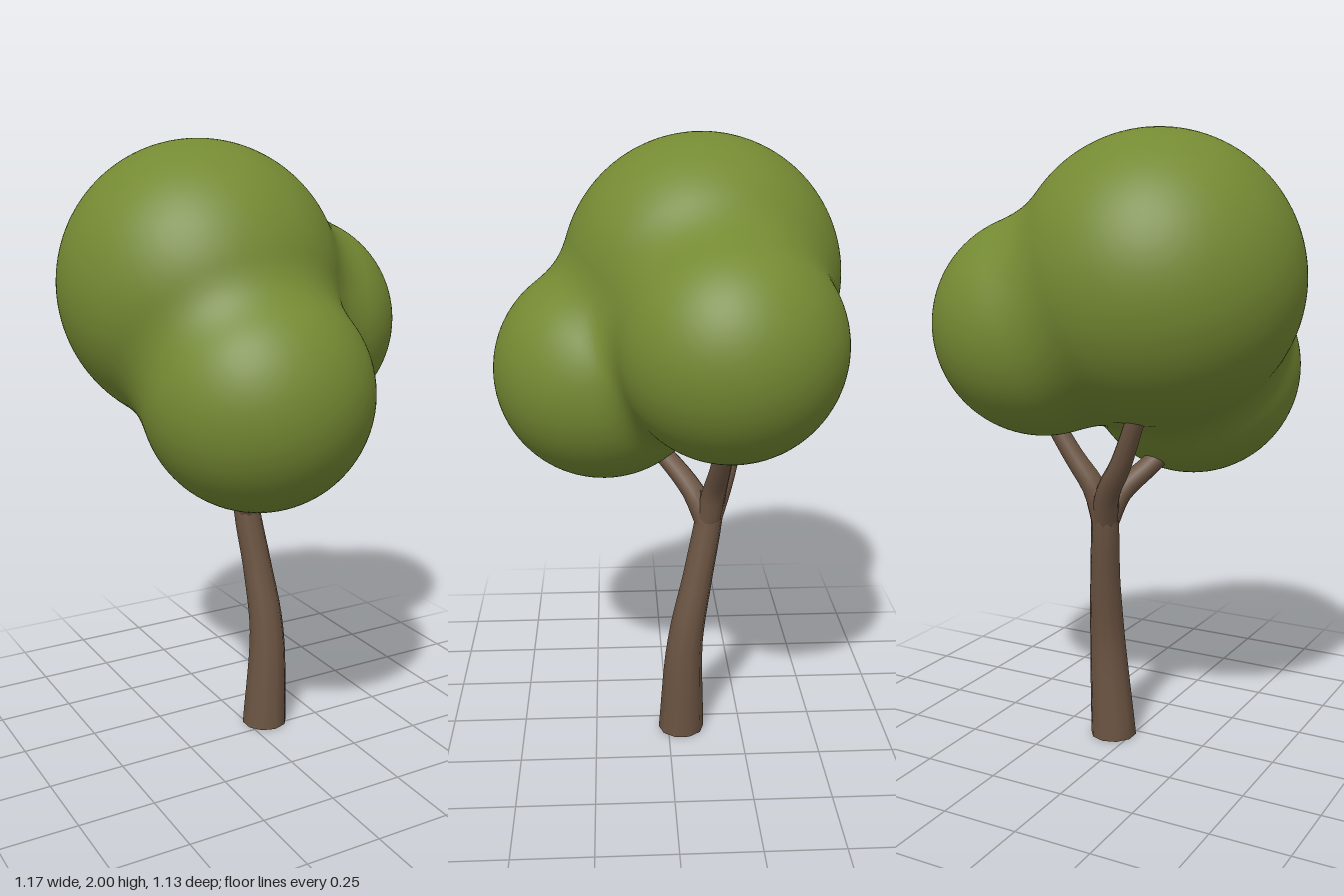
import * as THREE from 'three';
import { mergeVertices } from 'three/addons/utils/BufferGeometryUtils.js';

const leafMaterial = new THREE.MeshStandardMaterial({ color: 0x758a33 });
const barkMaterial = new THREE.MeshStandardMaterial({ color: 0x6b5442 });

// Overlapping leaf balls: centre and radius
const balls = [
  { c: new THREE.Vector3(-0.137, 1.55, -0.115), r: 0.45 },
  { c: new THREE.Vector3(-0.105, 1.25, 0.205), r: 0.358 },
  { c: new THREE.Vector3(0.235, 1.402, -0.18), r: 0.351 },
];

function smoothMin(a, b, k) {
  const h = Math.max(k - Math.abs(a - b), 0) / k;
  return Math.min(a, b) - h * h * k / 4;
}

function foliageDistance(p) {
  return balls.map(({ c, r }) => p.distanceTo(c) - r).reduce((a, b) => smoothMin(a, b, 0.09));
}

// Push a sphere's vertices out to the blended surface of the balls
function foliageGeometry() {
  const base = new THREE.IcosahedronGeometry(1, 28);
  base.deleteAttribute('normal');
  base.deleteAttribute('uv');
  const geo = mergeVertices(base, 1e-5);
  const pos = geo.attributes.position;
  const centre = new THREE.Vector3(-0.02, 1.41, -0.04);
  const dir = new THREE.Vector3(), p = new THREE.Vector3();
  for (let i = 0; i < pos.count; i++) {
    dir.fromBufferAttribute(pos, i).normalize();
    let near = 0, far = 1.2;
    for (let n = 0; n < 22; n++) {
      const mid = (near + far) / 2;
      p.copy(centre).addScaledVector(dir, mid);
      if (foliageDistance(p) < 0) near = mid; else far = mid;
    }
    pos.setXYZ(i, p.x, p.y, p.z);
  }
  geo.computeVertexNormals();
  return geo;
}

// Tapered limb through points [x, y, z, radius]
function limb(name, points, steps, sides) {
  const curve = new THREE.CatmullRomCurve3(points.map(([x, y, z]) => new THREE.Vector3(x, y, z)));
  const geo = new THREE.TubeGeometry(curve, steps, 1, sides);
  const pos = geo.attributes.position;
  const p = new THREE.Vector3();
  for (let i = 0; i <= steps; i++) {
    const u = i / steps;
    const centre = curve.getPointAt(u);
    const t = curve.getUtoTmapping(u) * (points.length - 1);
    const k = Math.min(Math.floor(t), points.length - 2);
    const radius = THREE.MathUtils.lerp(points[k][3], points[k + 1][3], t - k);
    for (let j = 0; j <= sides; j++) {
      const n = i * (sides + 1) + j;
      p.fromBufferAttribute(pos, n).sub(centre).multiplyScalar(radius).add(centre);
      // the foot of the trunk is cut level with the ground
      if (i === 0 && points[0][1] === 0) p.y = 0;
      pos.setXYZ(n, p.x, p.y, p.z);
    }
  }
  geo.computeVertexNormals();
  // share normals across the tube's seam
  const normal = geo.attributes.normal;
  const a = new THREE.Vector3(), b = new THREE.Vector3();
  for (let i = 0; i <= steps; i++) {
    const first = i * (sides + 1), last = first + sides;
    a.fromBufferAttribute(normal, first).add(b.fromBufferAttribute(normal, last)).normalize();
    normal.setXYZ(first, a.x, a.y, a.z);
    normal.setXYZ(last, a.x, a.y, a.z);
  }
  const mesh = new THREE.Mesh(geo, barkMaterial);
  mesh.name = name;
  return mesh;
}

export function createModel() {
  const tree = new THREE.Group();
  tree.name = 'tree';

  const foliage = new THREE.Mesh(foliageGeometry(), leafMaterial);
  foliage.name = 'foliage';
  tree.add(foliage);

  // Trunk leaning gently backwards
  tree.add(limb('trunk', [
    [0.065, 0, -0.045, 0.078],
    [0.08, 0.34, -0.057, 0.06],
    [0.065, 0.57, -0.098, 0.05],
    [0.045, 0.76, -0.133, 0.046],
    [0.042, 0.87, -0.147, 0.042],
  ], 18, 10));

  // Underside of the trunk
  const foot = new THREE.Mesh(new THREE.CircleGeometry(0.077, 10), barkMaterial);
  foot.name = 'trunkFoot';
  foot.rotation.x = Math.PI / 2;
  foot.position.set(0.065, 0.001, -0.045);
  tree.add(foot);

  // Three branches reaching into the leaf balls
  tree.add(limb('frontBranch', [
    [0.045, 0.77, -0.13, 0.044],
    [0.015, 0.86, -0.085, 0.038],
    [-0.05, 0.94, -0.015, 0.034],
    [-0.11, 1.02, 0.07, 0.03],
  ], 10, 10));
  tree.add(limb('leftBranch', [
    [0.045, 0.77, -0.133, 0.044],
    [0.072, 0.88, -0.15, 0.04],
    [0.14, 0.98, -0.162, 0.034],
    [0.23, 1.12, -0.172, 0.03],
  ], 10, 10));
  tree.add(limb('backBranch', [
    [0.045, 0.77, -0.133, 0.044],
    [0.01, 0.88, -0.175, 0.04],
    [-0.055, 0.98, -0.212, 0.035],
    [-0.13, 1.14, -0.25, 0.03],
  ], 10, 10));

  return tree;
}
